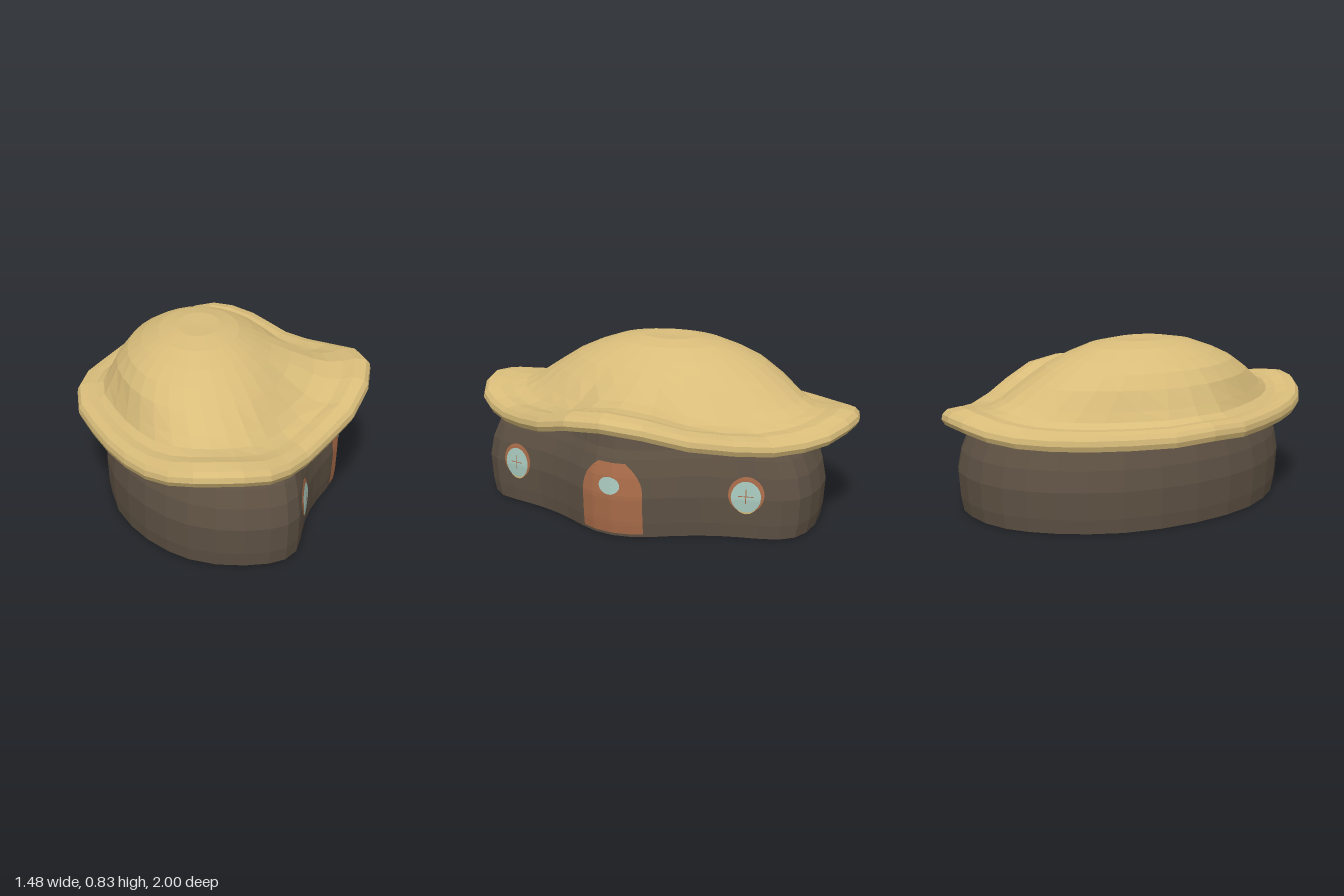
import * as THREE from 'three';

const { lerp, clamp, smoothstep } = THREE.MathUtils;

const mat = (name, color, extra = {}) => {
  const m = new THREE.MeshStandardMaterial({ color, flatShading: true, ...extra });
  m.name = name;
  return m;
};

// Joins closed rings of [x, y, z] points (top or centre first) into a surface.
function loft(rings) {
  const n = rings[0].length, index = [];
  for (let k = 0; k < rings.length - 1; k++) {
    for (let i = 0; i < n; i++) {
      const j = (i + 1) % n, a = k * n + i, b = k * n + j, c = a + n, d = b + n;
      index.push(a, b, c, b, d, c);
    }
  }
  const g = new THREE.BufferGeometry();
  g.setAttribute('position', new THREE.Float32BufferAttribute(rings.flat(2), 3));
  g.setIndex(index);
  g.computeVertexNormals();
  return g;
}

// Piecewise linear lookup in a list of [key, value] pairs
function lookup(table, t) {
  let i = 1;
  while (i < table.length - 1 && t > table[i][0]) i++;
  const [a, b] = [table[i - 1], table[i]];
  return lerp(a[1], b[1], clamp((t - a[0]) / (b[0] - a[0]), 0, 1));
}

// Thatched roof rim in 16 steps from +x round to -x: x and height of the lower edge
const APEX_X = -0.125;
const rimX = [0.735, 0.7, 0.61, 0.48, 0.37, 0.28, 0.19, 0.07, -0.04, -0.15, -0.26, -0.365, -0.462, -0.552, -0.635, -0.715, -0.74]
  .map((x, i) => [i, x]);
const rimY = [0.557, 0.535, 0.48, 0.44, 0.42, 0.43, 0.45, 0.475, 0.485, 0.475, 0.45, 0.43, 0.42, 0.415, 0.415, 0.42, 0.43]
  .map((y, i) => [i, y]);
// Size and height of the rings: over the top and round the lip, then underneath
const roofTop = [
  [0, 0.822], [0.15, 0.827], [0.28, 0.805], [0.4, 0.762], [0.5, 0.715], [0.6, 0.65], [0.71, 0.575], [0.77, 0.55],
  [0.84, 0.55], [0.91, 0.565], [0.975, 0.555], [0.995, 0.535], [1, 0.51], [0.985, 0.485],
];
const roofUnder = [[0, 0.79], [0.3, 0.76], [0.5, 0.67], [0.6, 0.605], [0.7, 0.54], [0.77, 0.512], [0.84, 0.51], [0.91, 0.515]];

// The dome is an ellipse that blends into the rim outline; f is ring size, i the rim step
const roofX = (f, i) => APEX_X + f * lerp(0.71 * Math.cos(i * Math.PI / 16), lookup(rimX, i) - APEX_X, smoothstep(f, 0.45, 0.85));
// The rim lifts over the door from far up the slope, but droops only near the edge
function roofWave(f, i) {
  const w = lookup(rimY, i) - 0.485;
  return w * (w > 0 ? smoothstep(f, 0.42, 0.82) : smoothstep(f, 0.62, 0.93));
}

function roofGeometry() {
  return loft([...roofTop, ...[...roofUnder].reverse()].map(([f, y]) => Array.from({ length: 32 }, (_, k) => {
    const i = k <= 16 ? k : 32 - k;
    return [roofX(f, i), y + roofWave(f, i), f * Math.sin(k * Math.PI / 16)];
  })));
}

// Height of the underside of the roof over a point
function ceiling(x, z) {
  let lo = Math.abs(z), hi = 1;
  const step = f => Math.asin(clamp(Math.abs(z) / f, 0, 1)) * 16 / Math.PI;
  for (let n = 0; n < 24; n++) {
    const f = (lo + hi) / 2, i = step(f);
    if (x <= roofX(f, i) && x >= roofX(f, 16 - i)) hi = f;
    else lo = f;
  }
  const i = step(hi), right = Math.abs(x - roofX(hi, i)) < Math.abs(x - roofX(hi, 16 - i));
  return lookup(roofUnder, hi) + roofWave(hi, right ? i : 16 - i);
}

// Wall plan: rounded at the back, with a porch bulging out at the door
const WALL_Z = 0.015;
const wallHalf = [
  [0.585, 0], [0.57, 0.1], [0.53, 0.19], [0.475, 0.29], [0.43, 0.39], [0.398, 0.48], [0.376, 0.57],
  [0.358, 0.66], [0.33, 0.76], [0.274, 0.828], [0.195, 0.862], [0.08, 0.875], [-0.05, 0.865], [-0.18, 0.82],
  [-0.28, 0.75], [-0.38, 0.65], [-0.465, 0.53], [-0.54, 0.38], [-0.585, 0.2], [-0.6, 0],
];
// Height and scale of the bulging wall
const wallProfile = [[0, 0.975], [0.07, 0.99], [0.2, 1], [0.3, 0.978], [0.38, 0.938], [0.42, 0.91]];

function wallGeometry() {
  const plan = [...wallHalf, ...wallHalf.slice(1, -1).reverse().map(([x, z]) => [x, -z])];
  // Upper rings close in as a vault just under the roof
  const vault = [0.6, 0.68, 0.76, 0.82, 0.87].map(s => plan.map(([x, z]) => {
    const px = x * s, pz = z * s + WALL_Z;
    return [px, ceiling(px, pz) - 0.012, pz];
  }));
  const sides = [...wallProfile].reverse().map(([y, s]) => plan.map(([x, z]) => [x * s, y, z * s + WALL_Z]));
  return loft([...vault, ...sides]);
}

// Position of the door-side wall at a given height and depth
const sidePlan = wallHalf.slice(0, 12).map(([x, z]) => [z, x]);
function wallX(y, z) {
  const s = lookup(wallProfile, y);
  return s * lookup(sidePlan, Math.abs(z - WALL_Z) / s);
}

// Wraps a flat geometry onto the door-side wall as a thin painted face
function wrap(g, y, z, offset) {
  const p = g.attributes.position;
  for (let i = 0; i < p.count; i++) {
    const py = y + p.getY(i), pz = z - p.getX(i);
    p.setXYZ(i, wallX(py, pz) + offset, py, pz);
  }
  g.computeVertexNormals();
  return g;
}
const disc = (rx, ry) => new THREE.RingGeometry(0, 1, 24, 6).scale(rx, ry, 1);

// Arched door panel, narrowing towards its rounded top
function doorGeometry() {
  const h = 0.345, g = new THREE.PlaneGeometry(2, h, 20, 16), p = g.attributes.position;
  for (let i = 0; i < p.count; i++) {
    const v = p.getY(i) / h + 0.5, t = Math.max(0, (v - 0.55) / 0.45);
    p.setX(i, p.getX(i) * (0.155 - 0.085 * t ** 2.5));
  }
  return wrap(g, 0.015 + h / 2, 0.025, 0.004);
}

export function createModel() {
  const group = new THREE.Group();
  const thatch = mat('thatch', 0xd8bc7a, { side: THREE.DoubleSide });
  const mud = mat('darkWall', 0x5f5244, { side: THREE.DoubleSide });
  const wood = mat('wood', 0xa96c49, { side: THREE.DoubleSide });
  const glass = mat('glass', 0xa8c9be, { side: THREE.DoubleSide });
  const add = (parent, name, geometry, material) => {
    const mesh = new THREE.Mesh(geometry, material);
    mesh.name = name;
    parent.add(mesh);
  };

  add(group, 'wall', wallGeometry(), mud);
  add(group, 'roof', roofGeometry(), thatch);

  // Door with its small pane
  add(group, 'door', doorGeometry(), wood);
  add(group, 'doorPane', wrap(disc(0.054, 0.042), 0.254, 0.027, 0.008), glass);

  // Round windows either side of the door, each with a pale sill below the pane
  for (const [name, z] of [['frontWindow', 0.636], ['backWindow', -0.58]]) {
    const win = new THREE.Group();
    win.name = name;
    add(win, 'frame', wrap(disc(0.083, 0.087), 0.221, z, 0.003), wood);
    add(win, 'sill', wrap(disc(0.058, 0.07), 0.196, z, 0.005), thatch);
    add(win, 'pane', wrap(disc(0.069, 0.076), 0.211, z, 0.007), glass);
    add(win, 'verticalBar', wrap(new THREE.PlaneGeometry(0.004, 0.07, 1, 8), 0.215, z, 0.009), wood);
    add(win, 'crossBar', wrap(new THREE.PlaneGeometry(0.07, 0.004, 8, 1), 0.215, z, 0.009), wood);
    group.add(win);
  }
  return group;
}
